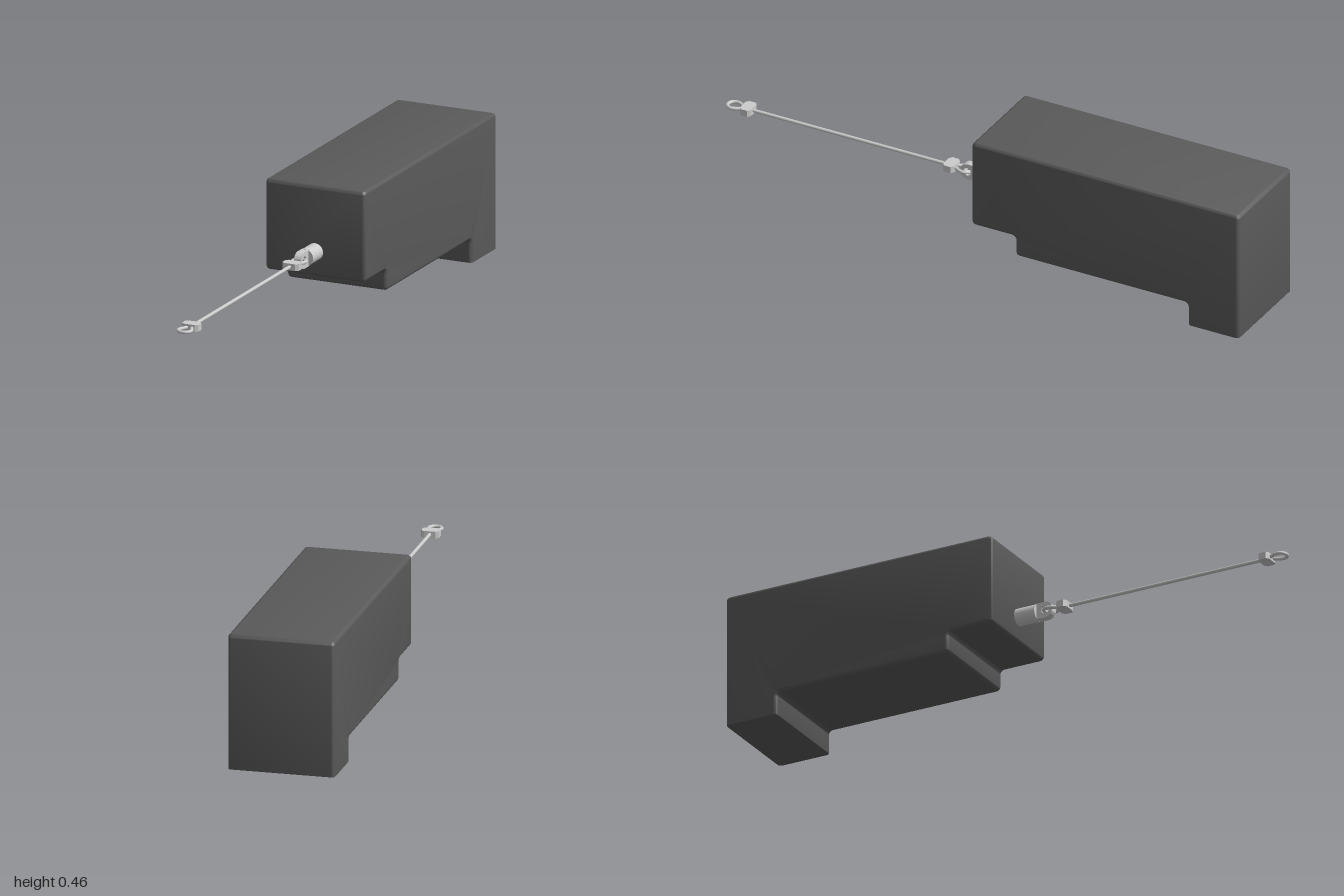
import * as THREE from 'three';
import { toCreasedNormals } from 'three/addons/utils/BufferGeometryUtils.js';

const steel = new THREE.MeshStandardMaterial({ color: 0xcccccc });
const dark = new THREE.MeshStandardMaterial({ color: 0x5a5a5a });
const AXIS_Y = 0.236; // height of the plunger and cable

function addMesh(parent, name, geometry, material = steel) {
  const mesh = new THREE.Mesh(geometry, material);
  mesh.name = name;
  parent.add(mesh);
  return mesh;
}

// Polygon whose corners [x, y, radius] are replaced by smooth arcs
function roundedShape(corners) {
  const points = [];
  const n = corners.length;
  corners.forEach(([x, y, r], i) => {
    const p = new THREE.Vector2(x, y);
    const toward = (c) => new THREE.Vector2(c[0], c[1]).sub(p).normalize();
    const a = toward(corners[(i + n - 1) % n]);
    const b = toward(corners[(i + 1) % n]);
    const centre = p.clone().addScaledVector(a, r).addScaledVector(b, r);
    for (let k = 0; k <= 5; k++) {
      const t = (k / 5) * Math.PI / 2;
      points.push(centre.clone().addScaledVector(b, -r * Math.cos(t)).addScaledVector(a, -r * Math.sin(t)));
    }
  });
  return new THREE.Shape(points);
}

// Stepped housing: side profile (z, y) extruded across x, with soft edges and a flat foot
function housingGeometry() {
  const b = 0.012, out = 0.003, inn = 0.026;
  const shape = roundedShape([
    [-1 + b, 0, out], [-0.81 - b, 0, out],
    [-0.81 - b, 0.08 + b, inn], [-0.17 - b, 0.08 + b, out],
    [-0.17 - b, 0.152 + b, inn], [-0.007 - b, 0.152 + b, out],
    [-0.007 - b, 0.462 - b, out], [-1 + b, 0.462 - b, out],
  ]);
  const geo = new THREE.ExtrudeGeometry(shape, {
    depth: 0.36 - 2 * b, bevelSize: b, bevelThickness: b, bevelSegments: 4,
  });
  geo.translate(0, 0, -0.18 + b);
  geo.rotateY(-Math.PI / 2);
  // Cut everything below the floor flat
  const pos = geo.attributes.position;
  for (let i = 0; i < pos.count; i++) pos.setY(i, Math.max(0, pos.getY(i)));
  return toCreasedNormals(geo, 0.7);
}

// Plunger rod with a flat, drilled tongue at its end
function createPlunger() {
  const group = new THREE.Group();
  group.name = 'plunger';
  group.position.y = AXIS_Y;
  const rod = new THREE.CylinderGeometry(0.029, 0.029, 0.10, 32).rotateX(Math.PI / 2);
  addMesh(group, 'plungerRod', rod).position.z = 0.018;

  const tongue = new THREE.Shape();
  tongue.moveTo(0.06, -0.028);
  tongue.lineTo(0.098, -0.028);
  tongue.absarc(0.098, 0, 0.028, -Math.PI / 2, Math.PI / 2, false);
  tongue.lineTo(0.06, 0.028);
  tongue.closePath();
  const hole = new THREE.Path();
  hole.absarc(0.1, 0, 0.014, 0, Math.PI * 2, true);
  tongue.holes.push(hole);
  const geo = new THREE.ExtrudeGeometry(tongue, { depth: 0.026, bevelEnabled: false, curveSegments: 20 });
  geo.translate(0, 0, -0.013).rotateY(-Math.PI / 2);
  addMesh(group, 'plungerTongue', toCreasedNormals(geo, 0.6));
  return group;
}

// Eyelet with its crimp block, pointing along +z
function createCableEnd(name) {
  const group = new THREE.Group();
  group.name = name;

  const outline = new THREE.Shape([
    [-0.03, 0.008], [-0.02, 0], [0.02, 0], [0.03, 0.008],
    [0.03, 0.032], [0.02, 0.04], [-0.02, 0.04], [-0.03, 0.032],
  ].map(([x, z]) => new THREE.Vector2(x, z)));
  const block = new THREE.ExtrudeGeometry(outline, { depth: 0.023, bevelEnabled: false });
  block.translate(0, 0, -0.0115).rotateX(Math.PI / 2);
  addMesh(group, 'crimpBlock', block);

  // Teardrop loop
  const path = [[-0.007, 0.03], [-0.01, 0.041]];
  for (let i = 0; i <= 8; i++) {
    const t = Math.PI * (1.12 - i * 1.24 / 8);
    path.push([0.022 * Math.cos(t), 0.072 + 0.022 * Math.sin(t)]);
  }
  path.push([0.01, 0.041], [0.007, 0.03]);
  const curve = new THREE.CatmullRomCurve3(path.map(([x, z]) => new THREE.Vector3(x, 0, z)));
  addMesh(group, 'eyelet', new THREE.TubeGeometry(curve, 48, 0.006, 10));
  return group;
}

export function createModel() {
  const model = new THREE.Group();
  model.name = 'plungerUnit';
  addMesh(model, 'housing', housingGeometry(), dark);
  model.add(createPlunger());

  // Pull cable with an eyelet at each end
  const cable = new THREE.Group();
  cable.name = 'pullCable';
  cable.position.y = AXIS_Y;
  const wire = new THREE.CylinderGeometry(0.006, 0.006, 0.75, 12).rotateX(Math.PI / 2);
  addMesh(cable, 'wire', wire).position.z = 0.5425;
  const far = createCableEnd('outerEnd');
  far.position.z = 0.9;
  const near = createCableEnd('innerEnd');
  near.position.z = 0.185;
  near.rotation.y = Math.PI;
  cable.add(far, near);
  model.add(cable);
  return model;
}
